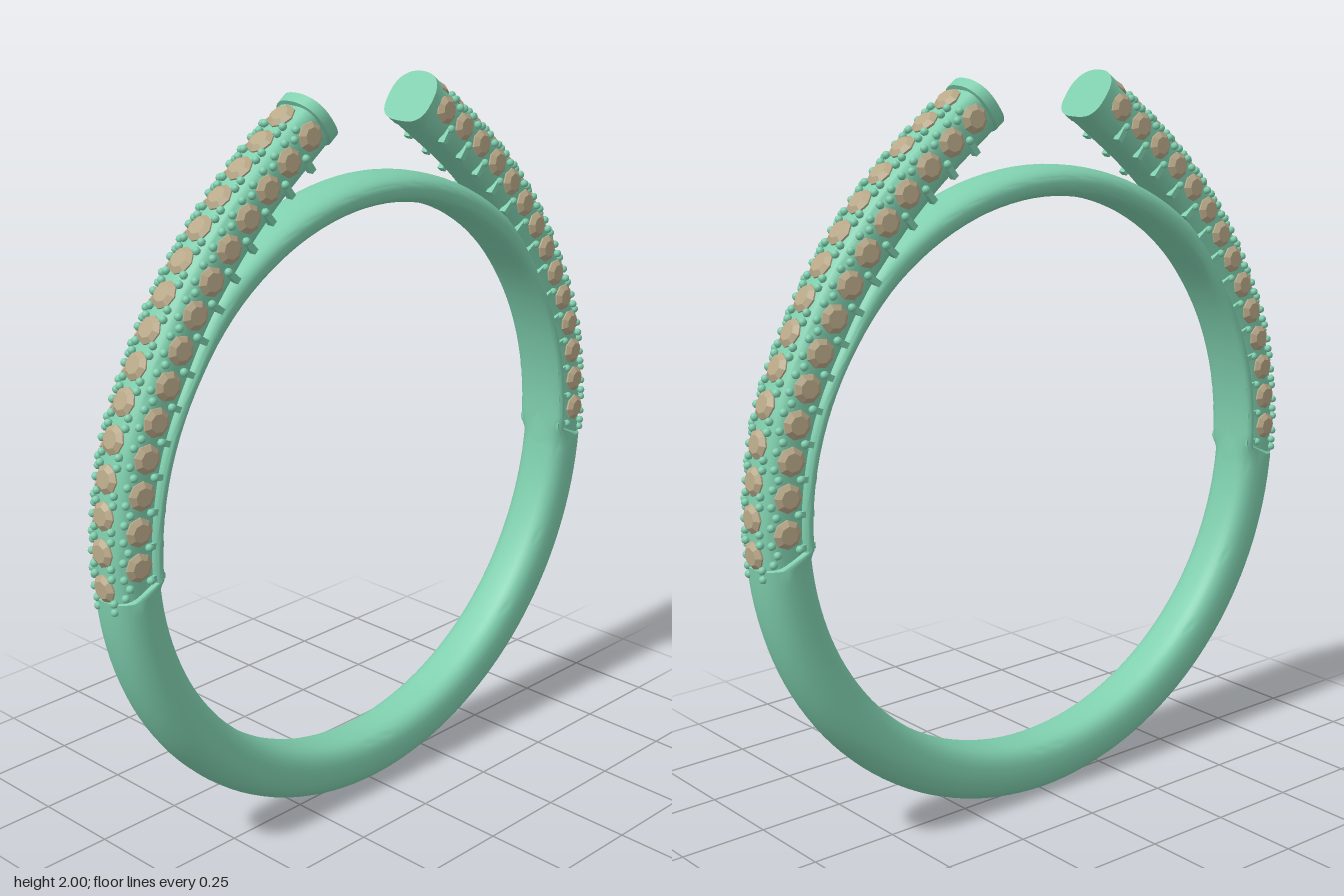
import * as THREE from 'three';
import { mergeGeometries, toCreasedNormals } from 'three/addons/utils/BufferGeometryUtils.js';

const metal = new THREE.MeshStandardMaterial({ color: 0x7fcfae });
const gem = new THREE.MeshStandardMaterial({ color: 0xb8a888 });
const CY = 0.918, R_IN = 0.763, SIDES = 32;

// Sweep a rounded D section through frames {x, y, nx, ny, inner, outer, w, q}
function sweep(frames, capEnd) {
  const pos = [], idx = [];
  for (const f of frames) {
    for (let j = 0; j < SIDES; j++) {
      const a = (j / SIDES) * Math.PI * 2, c = Math.cos(a), s = Math.sin(a);
      const e = 2 / (c > 0 ? f.q : 3);
      const r = Math.sign(c) * Math.abs(c) ** e * (c > 0 ? f.outer : f.inner);
      pos.push(f.x + f.nx * r, f.y + f.ny * r, Math.sign(s) * Math.abs(s) ** e * f.w);
    }
  }
  for (let i = 0; i < frames.length - 1; i++) {
    for (let j = 0; j < SIDES; j++) {
      const a = i * SIDES + j, b = i * SIDES + ((j + 1) % SIDES);
      idx.push(a, a + SIDES, b, b, a + SIDES, b + SIDES);
    }
  }
  if (capEnd) {
    const o = (frames.length - 1) * SIDES;
    for (let j = 1; j < SIDES - 1; j++) idx.push(o, o + j + 1, o + j);
  }
  const g = new THREE.BufferGeometry();
  g.setAttribute('position', new THREE.Float32BufferAttribute(pos, 3));
  g.setIndex(idx);
  return toCreasedNormals(g, 0.6);
}

// Full finger band: thick below, thin where the arms lie on it
function bandGeometry() {
  const keys = [[-90, 0.155], [-5, 0.146], [-3, 0.045], [35, 0.05], [50, 0.08], [90, 0.082]];
  const thickness = (d) => {
    const k = Math.max(1, keys.findIndex((e) => d <= e[0]));
    const [d0, t0] = keys[k - 1], [d1, t1] = keys[k];
    return t0 + ((t1 - t0) * (d - d0)) / (d1 - d0);
  };
  const right = [];
  for (let d = -90; d <= -5; d += 2.5) right.push(d);
  for (let d = -3; d <= 90; d += 3) right.push(d);
  const make = (d, angle) => {
    const t = thickness(d), a = (angle * Math.PI) / 180, r = R_IN + t / 2;
    const nx = Math.cos(a), ny = Math.sin(a);
    return { x: nx * r, y: CY + ny * r, nx, ny, inner: t / 2, outer: t / 2, w: 0.077, q: 2.3 };
  };
  const frames = right.map((d) => make(d, d));
  right.slice(0, -1).reverse().forEach((d) => frames.push(make(d, 180 - d)));
  return sweep(frames, false);
}

// Centre line of one rising arm
const path = new THREE.CatmullRomCurve3([
  [0.832, 0.82], [0.838, 0.93], [0.833, 1.02], [0.8, 1.2], [0.727, 1.365],
  [0.632, 1.525], [0.523, 1.66], [0.395, 1.782], [0.187, 1.94],
].map(([x, y]) => new THREE.Vector3(x, y, 0)), false, 'centripetal');
path.arcLengthDivisions = 400;
const LEN = path.getLength();

function frameAt(s) {
  const u = Math.min(1, s / LEN), p = path.getPointAt(u), t = path.getTangentAt(u);
  return { x: p.x, y: p.y, nx: t.y, ny: -t.x, t };
}

// Point on the arm at arc length s, radial offset r and depth z
function place(geo, s, r, z, tilt = 0) {
  const f = frameAt(s);
  const n = new THREE.Vector3(f.nx, f.ny, 0), b = new THREE.Vector3(0, 0, 1);
  // local +y turns from the outward normal towards +z by tilt
  const up = n.clone().multiplyScalar(Math.cos(tilt)).addScaledVector(b, Math.sin(tilt));
  const m = new THREE.Matrix4().makeBasis(f.t, up, new THREE.Vector3().crossVectors(f.t, up));
  m.setPosition(f.x + f.nx * r, f.y + f.ny * r, z);
  return geo.clone().applyMatrix4(m);
}

function createArm() {
  const arm = new THREE.Group();
  const add = (name, geo, mat) => {
    const mesh = new THREE.Mesh(geo, mat);
    mesh.name = name;
    arm.add(mesh);
  };

  // Recessed core with a plain full-size tip
  const core = { inner: 0.075, outer: 0.063, w: 0.065, q: 3 };
  const tip = { inner: 0.075, outer: 0.075, w: 0.078, q: 2.3 };
  const frames = [], tipStart = LEN - 0.03;
  for (let i = 0; i <= 48; i++) frames.push({ ...frameAt((i / 48) * (tipStart - 0.002)), ...core });
  frames.push({ ...frameAt(tipStart), ...tip }, { ...frameAt(LEN), ...tip });
  add('armBody', sweep(frames, true), metal);

  // Faceted stone: pointed base, girdle, sloped crown and flat table
  const stone = new THREE.LatheGeometry(
    [[0, -0.03], [0.038, 0], [0.038, 0.004], [0.024, 0.014], [0, 0.014]].map(([x, y]) => new THREE.Vector2(x, y)), 8,
  ).toNonIndexed();
  stone.computeVertexNormals();
  const bead = new THREE.SphereGeometry(0.011, 8, 6);
  const bar = new THREE.BoxGeometry(0.016, 0.045, 0.02);
  const stones = [], beads = [], bars = [];

  // Rows of stones on the front, back and outer faces
  const row = (count, start, each) => {
    const end = LEN - 0.074, step = (end - start) / (count - 1);
    for (let i = 0; i < count; i++) each(start + i * step, step);
  };
  row(14, 0.112, (s, step) => {
    for (const side of [1, -1]) {
      stones.push(place(stone, s, 0.008, side * 0.066, side * Math.PI * 0.47));
      const m = s - step / 2;
      // Shared prongs beside each stone, and bars down to the inner edge
      beads.push(place(bead, m, 0.04, side * 0.068), place(bead, m, -0.024, side * 0.07));
      beads.push(place(bead, m + 0.024, 0.05, side * 0.06), place(bead, m - 0.024, 0.05, side * 0.06));
      bars.push(place(bar, m, -0.046, side * 0.062));
    }
  });
  row(15, 0.058, (s, step) => {
    stones.push(place(stone, s, 0.064, 0));
    for (const side of [1, -1]) {
      beads.push(place(bead, s - step / 2 + 0.012, 0.066, side * 0.032));
      beads.push(place(bead, s - step / 2 - 0.012, 0.066, side * 0.032));
    }
  });
  add('stones', mergeGeometries(stones), gem);
  add('prongBeads', mergeGeometries(beads), metal);
  add('settingBars', mergeGeometries(bars), metal);
  return arm;
}

export function createModel() {
  const model = new THREE.Group();
  model.name = 'openTopRing';

  const band = new THREE.Mesh(bandGeometry(), metal);
  band.name = 'band';
  model.add(band);

  // The arms match front to back, so a half turn makes the opposite one
  const left = createArm();
  left.name = 'leftArm';
  const right = createArm();
  right.name = 'rightArm';
  right.rotation.y = Math.PI;
  model.add(left, right);
  return model;
}
